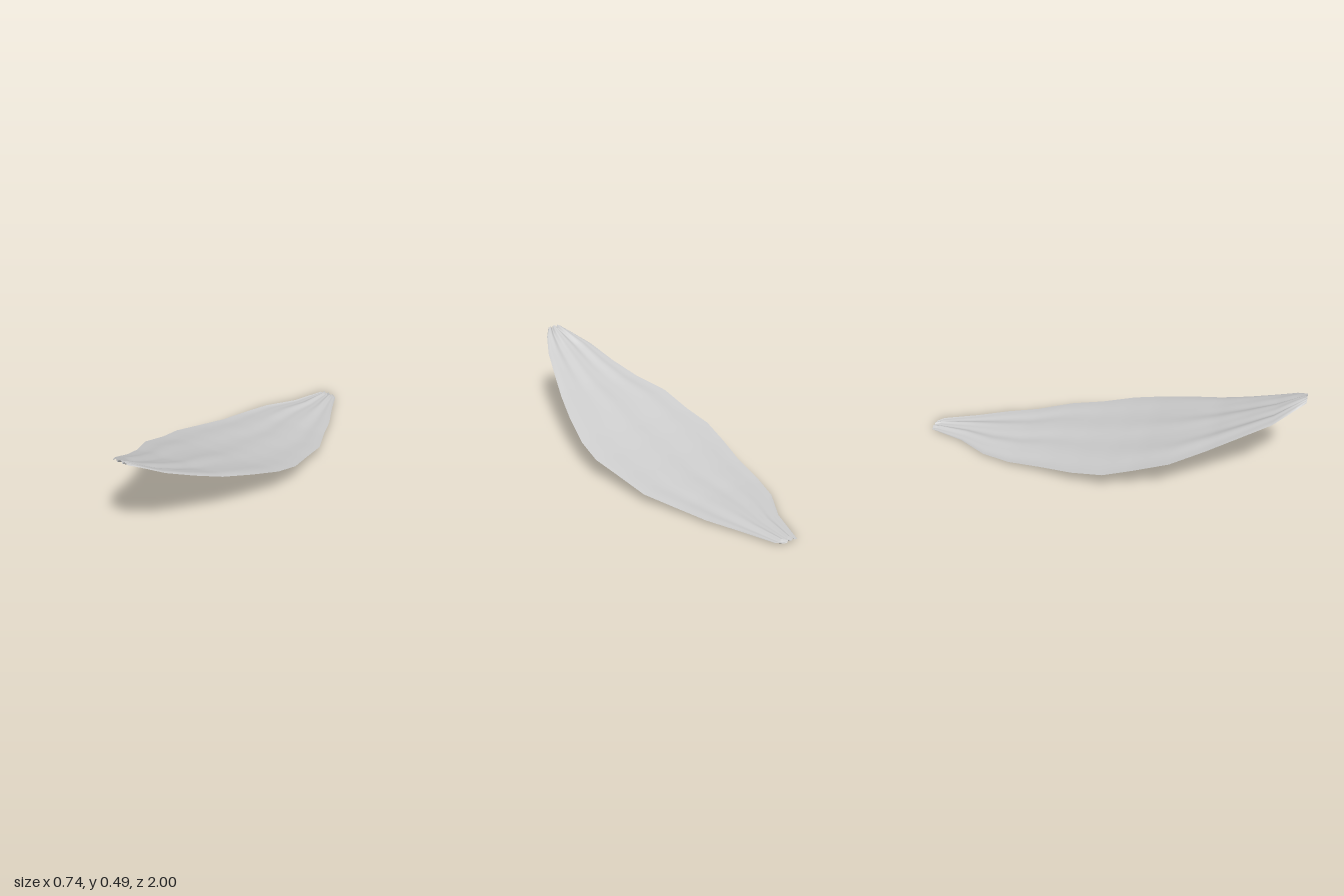
import * as THREE from 'three';

// Stations along the blade: z, x of one edge, x of the other edge, height
const stations = [
  [-1, -0.05, 0.03, 0.013], [-0.97, -0.06, 0.065, 0.014], [-0.8, -0.12, 0.13, 0.019],
  [-0.64, -0.22, 0.2, 0.026], [-0.48, -0.27, 0.25, 0.036], [-0.3, -0.3, 0.32, 0.058],
  [-0.12, -0.345, 0.34, 0.087], [0.05, -0.373, 0.368, 0.122], [0.2, -0.35, 0.355, 0.16],
  [0.38, -0.33, 0.31, 0.217], [0.55, -0.25, 0.255, 0.272], [0.7, -0.19, 0.2, 0.335],
  [0.85, -0.14, 0.145, 0.405], [0.95, -0.07, 0.09, 0.463], [1, -0.03, 0.05, 0.489],
];
const ACROSS = 32, STEPS = 4;

// Lengthwise pleats, tighter and deeper towards the two tips
function ripple(u, z) {
  const tip = Math.abs(z);
  const depth = (0.003 + 0.006 * tip) * (1 - 0.4 * Math.max(0, -z));
  return depth * (Math.sin(u * 9 + z * 1.3) * 0.7 + Math.sin(u * 17 - z * 2) * 0.4 * tip);
}

function bladeGeometry() {
  const positions = [], indices = [];
  const rows = (stations.length - 1) * STEPS;
  for (let r = 0; r <= rows; r++) {
    const i = Math.min(Math.floor(r / STEPS), stations.length - 2);
    const t = r / STEPS - i;
    const [z, left, right, y] = stations[i].map((a, k) => THREE.MathUtils.lerp(a, stations[i + 1][k], t));
    for (let c = 0; c <= ACROSS; c++) {
      const u = (c / ACROSS) * 2 - 1;
      const x = THREE.MathUtils.lerp(left, right, c / ACROSS);
      // Faint lift at the middle of the cross-section plus pleats
      positions.push(x, Math.max(0, y + 0.003 - 0.006 * u * u + ripple(u, z)), z);
    }
  }
  const w = ACROSS + 1;
  for (let r = 0; r < rows; r++) {
    for (let c = 0; c < ACROSS; c++) {
      const a = r * w + c;
      indices.push(a, a + w, a + 1, a + 1, a + w, a + w + 1);
    }
  }
  const geometry = new THREE.BufferGeometry();
  geometry.setAttribute('position', new THREE.Float32BufferAttribute(positions, 3));
  geometry.setIndex(indices);
  geometry.computeVertexNormals();
  return geometry;
}

export function createModel() {
  const group = new THREE.Group();
  group.name = 'leaf';
  const material = new THREE.MeshStandardMaterial({ color: 0xcccccc, side: THREE.DoubleSide });
  const blade = new THREE.Mesh(bladeGeometry(), material);
  blade.name = 'leafBlade';
  group.add(blade);
  return group;
}
